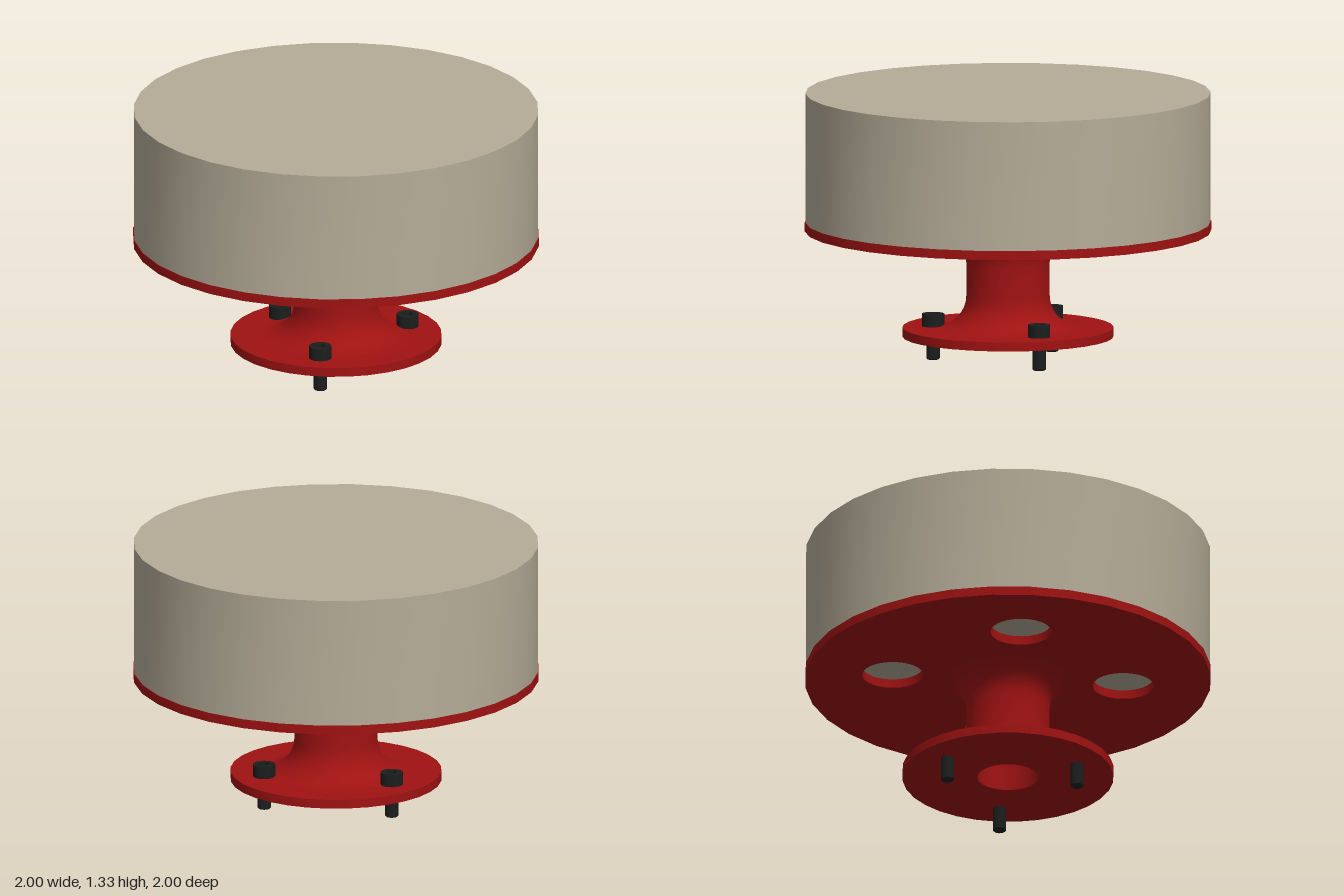
import * as THREE from 'three';
import { toCreasedNormals } from 'three/addons/utils/BufferGeometryUtils.js';

const red = new THREE.MeshStandardMaterial({ color: 0xa01212 });
const stone = new THREE.MeshStandardMaterial({ color: 0xb5ac98 });
const black = new THREE.MeshStandardMaterial({ color: 0x1c1e1e });

function part(name, geometry, material, y = 0) {
  const mesh = new THREE.Mesh(toCreasedNormals(geometry, 0.5), material);
  mesh.name = name;
  mesh.position.y = y;
  return mesh;
}

const circle = (Type, r, x = 0, y = 0) => new Type().absarc(x, y, r, 0, Math.PI * 2);

// Flat plate lying on y = 0 with the given holes
function plate(radius, height, holes) {
  const shape = circle(THREE.Shape, radius);
  shape.holes.push(...holes);
  return new THREE.ExtrudeGeometry(shape, { depth: height, bevelEnabled: false, curveSegments: 16 })
    .rotateX(-Math.PI / 2);
}

// Foot flange, bored column and both fillets in one turned profile
function pedestal() {
  const bore = 0.15, column = 0.205, f = 0.16, low = 0.165, high = 0.645;
  const pts = [[bore, high], [bore, 0.12], [0.52, 0.12], [0.52, low]];
  const steps = 8;
  for (let i = 0; i <= steps; i++) {
    const a = (i / steps) * Math.PI / 2;
    pts.push([column + f - f * Math.sin(a), low + f - f * Math.cos(a)]);
  }
  for (let i = 0; i <= steps; i++) {
    const a = (i / steps) * Math.PI / 2;
    pts.push([column + f - f * Math.cos(a), high - f + f * Math.sin(a)]);
  }
  return new THREE.LatheGeometry(pts.map(p => new THREE.Vector2(...p)), 32);
}

// Socket-head screw: hexagonal recess in the head, shank through the flange
function screw() {
  const group = new THREE.Group();
  group.name = 'screw';
  const hex = new THREE.Path();
  hex.setFromPoints(Array.from({ length: 7 }, (_, i) =>
    new THREE.Vector2(0.03 * Math.cos(i * Math.PI / 3), 0.03 * Math.sin(i * Math.PI / 3))));
  group.add(part('screwHead', plate(0.055, 0.062, [hex]), black, 0.165));
  group.add(part('screwShank', new THREE.CylinderGeometry(0.033, 0.033, 0.185, 16), black, 0.0975));
  group.add(part('screwTip', new THREE.CylinderGeometry(0.033, 0.028, 0.005, 16), black, 0.0025));
  return group;
}

export function createModel() {
  const model = new THREE.Group();
  model.name = 'drumOnPedestal';

  model.add(part('drum', new THREE.CylinderGeometry(0.997, 0.997, 0.64, 32), stone, 1.01));

  // Carrier plate: centre bore and four large holes
  const holes = [circle(THREE.Path, 0.15)];
  for (let i = 0; i < 4; i++) {
    const a = i * Math.PI / 2;
    holes.push(circle(THREE.Path, 0.15, 0.57 * Math.cos(a), 0.57 * Math.sin(a)));
  }
  model.add(part('carrierPlate', plate(1, 0.045, holes), red, 0.645));
  model.add(part('pedestal', pedestal(), red));

  // Three screws spaced evenly round the foot flange
  for (let i = 0; i < 3; i++) {
    const a = i * Math.PI * 2 / 3;
    const s = screw();
    s.position.set(0.37 * Math.cos(a), 0, 0.37 * Math.sin(a));
    model.add(s);
  }
  return model;
}
